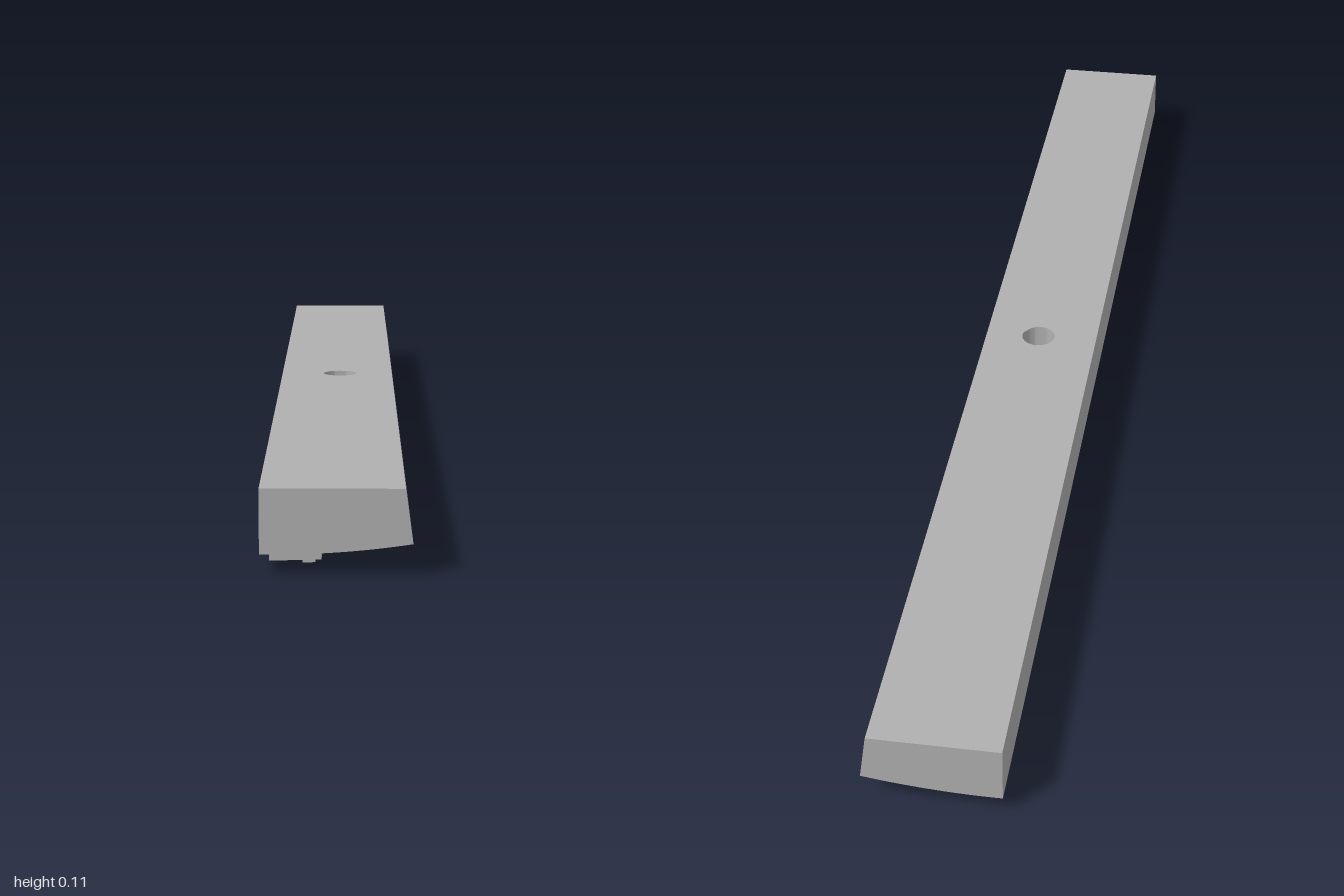
import * as THREE from 'three';
import { toCreasedNormals } from 'three/addons/utils/BufferGeometryUtils.js';

const TOP = 0.115, HOLE = 0.028, MID = 0.06;
// Height of the gently curved underside
const under = (x) => 0.028 + 0.43 * (x + 0.08) ** 2;

export function createModel() {
  const model = new THREE.Group();
  const grey = new THREE.MeshStandardMaterial({ color: 0xb0b0b0 });
  grey.name = 'grey';
  const add = (name, geometry) => {
    const mesh = new THREE.Mesh(geometry, grey);
    mesh.name = name;
    model.add(mesh);
  };

  // Extrude a plan shape (x, -z) upwards, then set its lower and upper heights by rule
  const upright = (shape, place) => {
    const geo = new THREE.ExtrudeGeometry(shape, { depth: 1, bevelEnabled: false, curveSegments: 20 });
    geo.rotateX(-Math.PI / 2);
    const p = geo.attributes.position;
    for (let i = 0; i < p.count; i++) {
      const [x, y] = place(p.getX(i), p.getY(i) > 0.5);
      p.setXY(i, x, y);
    }
    return toCreasedNormals(geo, 0.5);
  };

  // Long end sections of the bar, with sloping side and curved underside
  const profile = new THREE.Shape();
  profile.moveTo(0.09, TOP);
  profile.lineTo(-0.1, TOP);
  for (let i = 0; i <= 16; i++) {
    const x = -0.1 + i * 0.0125;
    profile.lineTo(x, under(x));
  }
  profile.closePath();
  for (const [name, z] of [['frontBar', MID], ['backBar', -1]]) {
    const geo = new THREE.ExtrudeGeometry(profile, { depth: 1 - MID, bevelEnabled: false });
    geo.translate(0, 0, z);
    add(name, toCreasedNormals(geo, 0.5));
  }

  // Middle section with the round through hole
  const middle = new THREE.Shape();
  middle.moveTo(-0.1, -MID);
  for (let i = 1; i <= 16; i++) middle.lineTo(-0.1 + i * 0.0125, -MID);
  for (let i = 16; i >= 0; i--) middle.lineTo(-0.1 + i * 0.0125, MID);
  middle.closePath();
  middle.holes.push(new THREE.Path().absarc(0, 0, HOLE, 0, Math.PI * 2, true));
  add('middleBar', upright(middle, (x, top) => {
    const outside = Math.max(0, x - 0.03) / 0.07;
    return top ? [x - 0.01 * outside, TOP] : [x, under(x)];
  }));

  // Low raised ridges under the bar
  const ridge = (name, shape) =>
    add(name, upright(shape, (x, top) => [x, under(x) + (top ? 0.008 : -0.028)]));
  const arch = (x, z, r, from, to) => {
    const shape = new THREE.Shape();
    const a = THREE.MathUtils.degToRad(from), b = THREE.MathUtils.degToRad(to);
    shape.absarc(x, -z, r, a, b, false);
    shape.absarc(x, -z, r - 0.017, b, a, true);
    shape.closePath();
    ridge('archRidge', shape);
  };
  const bar = (x0, x1, z0, z1) => {
    const shape = new THREE.Shape();
    shape.moveTo(x0, -z1);
    shape.lineTo(x1, -z1);
    shape.lineTo(x1, -z0);
    shape.lineTo(x0, -z0);
    shape.closePath();
    ridge('barRidge', shape);
  };

  // Arches: x, z, radius, start and end angle
  const arches = [
    [-0.055, 0.855, 0.035, -60, 150],
    [-0.035, 0.39, 0.05, -110, 130],
    [-0.05, 0.105, 0.035, -150, 30],
    [-0.05, 0.145, 0.035, -150, 30],
    [-0.04, -0.125, 0.035, -90, 90],
    [-0.037, -0.375, 0.036, -110, 150],
    [-0.035, -0.6, 0.04, -110, 130],
    [-0.035, -0.885, 0.04, -110, 130],
  ];
  arches.forEach((a) => arch(...a));

  // Straight ridges: x range, z range
  const bars = [
    [-0.09, -0.02, 0.9, 0.917],
    [-0.045, -0.028, 0.87, 0.93],
    [-0.002, 0.015, 0.585, 0.71],
    [-0.09, 0.015, 0.585, 0.602],
    [-0.06, -0.03, 0.63, 0.66],
    [-0.09, -0.03, 0.31, 0.33],
    [-0.03, 0.015, 0.115, 0.132],
    [-0.09, -0.01, -0.135, -0.118],
    [-0.09, -0.03, -0.66, -0.643],
    [-0.09, -0.03, -0.945, -0.928],
    [-0.045, -0.028, -0.92, -0.87],
  ];
  bars.forEach((b) => bar(...b));

  return model;
}
